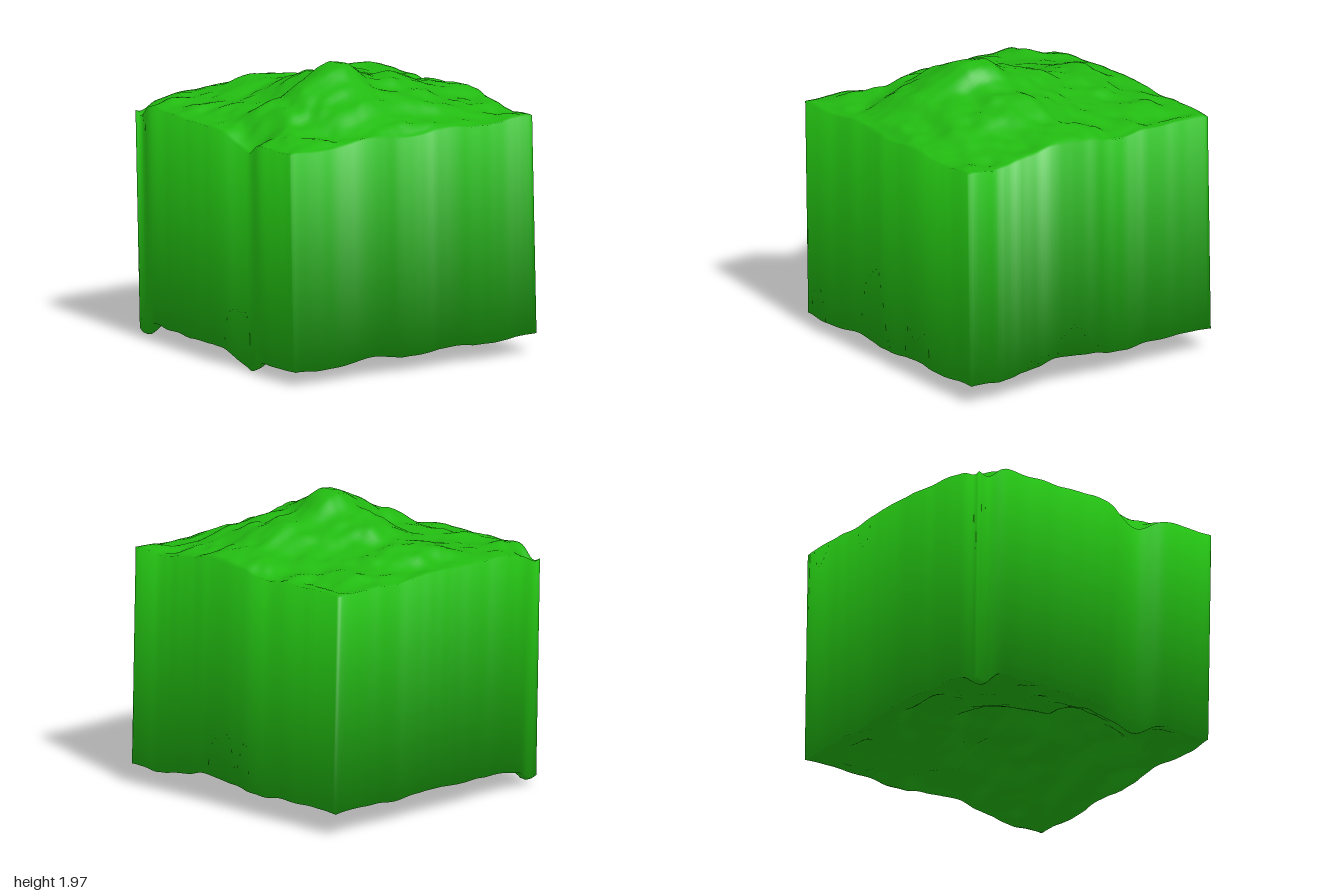
import * as THREE from 'three';

const N = 72; // grid cells per side
const THICK = 1.485; // the underside repeats the top, this far below
const SHIFT = 0.035; // and slightly to the side

// Linear look-up in a list of [position, value] keys
function sample(keys, t) {
  if (t <= keys[0][0]) return keys[0][1];
  for (let i = 1; i < keys.length; i++) {
    const [a, va] = keys[i - 1], [b, vb] = keys[i];
    if (t <= b) return va + (vb - va) * (t - a) / (b - a);
  }
  return keys[keys.length - 1][1];
}

// Hill profiles across x and z, and outlines of the wavy sides
const profileX = [[-0.98, 0.06], [-0.8, 0.2], [-0.7, 0.31], [-0.6, 0.38], [-0.5, 0.43], [-0.4, 0.63], [-0.3, 0.79],
  [-0.2, 0.94], [-0.1, 1], [0, 0.94], [0.1, 0.76], [0.2, 0.66], [0.3, 0.63], [0.4, 0.56], [0.5, 0.47],
  [0.6, 0.37], [0.7, 0.3], [0.9, 0.2], [0.95, 0.08]];
const profileZ = [[-0.97, 0.06], [-0.8, 0.2], [-0.72, 0.31], [-0.6, 0.33], [-0.4, 0.39], [-0.3, 0.51], [-0.2, 0.62],
  [-0.1, 0.73], [0, 0.79], [0.1, 0.97], [0.2, 1], [0.3, 0.97], [0.4, 0.8], [0.5, 0.65], [0.6, 0.54],
  [0.7, 0.3], [0.8, 0.16], [0.88, 0.14], [0.96, 0]];
const rightEdge = [[-0.95, -0.96], [-0.8, -0.975], [-0.4, -0.985], [0, -0.988], [0.15, -0.97], [0.3, -0.93], [0.4, -0.937],
  [0.5, -0.96], [0.65, -0.988], [0.9, -0.97]];
const backEdge = [[-0.96, -0.93], [-0.4, -0.95], [-0.28, -0.972], [0.95, -0.97]];

// Seeded smooth noise
function hash(i, j) {
  const s = Math.sin(i * 127.1 + j * 311.7) * 43758.5453;
  return (s - Math.floor(s)) * 2 - 1;
}
function noise(x, z) {
  const i = Math.floor(x), j = Math.floor(z);
  const u = THREE.MathUtils.smoothstep(x - i, 0, 1), v = THREE.MathUtils.smoothstep(z - j, 0, 1);
  const { lerp } = THREE.MathUtils;
  return lerp(lerp(hash(i, j), hash(i + 1, j), u), lerp(hash(i, j + 1), hash(i + 1, j + 1), u), v);
}
const bump = (x, z, cx, cz, r) => Math.exp(-((x - cx) ** 2 + (z - cz) ** 2) / (r * r));

function height(x, z) {
  const calm = 1 - bump(x, z, -0.1, 0.2, 0.22);
  const wx = x + 0.07 * calm * noise(x * 3 + 9, z * 3);
  const wz = z + 0.07 * calm * noise(x * 3, z * 3 + 17);
  const hill = sample(profileX, wx) * sample(profileZ, wz);
  const base = 1.63 + 0.02 * x - 0.015 * z;
  const rough = 0.024 * noise(x * 5, z * 7) + 0.012 * noise(x * 11 + 3, z * 13);
  const inside = Math.min(1, (1 - Math.max(Math.abs(x), Math.abs(z))) * 4 + 0.35);
  return base + (1.995 - base) * hill + rough * calm * inside
    + 0.02 * bump(x, z, 0.1, 0.5, 0.12)
    - 0.15 * bump(x, z, -0.92, 0.33, 0.17) // dips along the wavy side
    - 0.09 * bump(x, z, -0.92, -0.87, 0.1);
}

export function createModel() {
  const group = new THREE.Group();
  group.name = 'terrainBlock';
  const row = N + 1, layer = row * row;
  const positions = [];

  // Two layers of points: top terrain, then its copy below
  for (const low of [0, 1]) {
    for (let j = 0; j <= N; j++) {
      for (let i = 0; i <= N; i++) {
        const u = i / N, v = j / N;
        const z0 = v * 1.93 - 0.97, x0 = u * 1.93 - 0.98;
        const x = THREE.MathUtils.lerp(sample(rightEdge, z0), 0.948, u);
        const z = THREE.MathUtils.lerp(sample(backEdge, x0), 0.96 + 0.004 * Math.sin(x0 * 14), v);
        positions.push(x + low * SHIFT, height(x, z) - low * THICK, z);
      }
    }
  }

  const top = [], under = [], sides = [];
  for (let j = 0; j < N; j++) {
    for (let i = 0; i < N; i++) {
      const a = j * row + i, b = a + 1, c = a + row, d = c + 1;
      top.push(a, c, b, b, c, d);
      under.push(...[a, b, c, b, d, c].map(k => k + layer));
    }
  }
  // Side walls join the rims of both layers
  const wall = (a, b) => sides.push(a, a + layer, b, b, a + layer, b + layer);
  for (let k = 0; k < N; k++) {
    wall(N * row + k, N * row + k + 1); // front
    wall(k + 1, k); // back
    wall(k * row, (k + 1) * row); // -x side
    wall((k + 1) * row + N, k * row + N); // +x side
  }

  // Smooth normals, with the rims leaning outward
  const shared = new THREE.BufferGeometry();
  shared.setAttribute('position', new THREE.Float32BufferAttribute(positions, 3));
  shared.setIndex([...top, ...under]);
  shared.computeVertexNormals();
  const normal = shared.attributes.normal, n = new THREE.Vector3();
  for (let k = 0; k < layer * 2; k++) {
    const i = k % row, j = Math.floor((k % layer) / row);
    n.fromBufferAttribute(normal, k);
    n.x += 0.8 * ((i === N) - (i === 0));
    n.z += 0.8 * ((j === N) - (j === 0));
    n.normalize();
    normal.setXYZ(k, n.x, n.y, n.z);
  }

  const material = new THREE.MeshStandardMaterial({ color: 0x22bb11 });
  for (const [name, index] of Object.entries({ terrainTop: top, underside: under, sideWalls: sides })) {
    const geometry = new THREE.BufferGeometry();
    geometry.setAttribute('position', shared.attributes.position);
    geometry.setAttribute('normal', normal);
    geometry.setIndex(index);
    const mesh = new THREE.Mesh(geometry, material);
    mesh.name = name;
    group.add(mesh);
  }
  return group;
}
